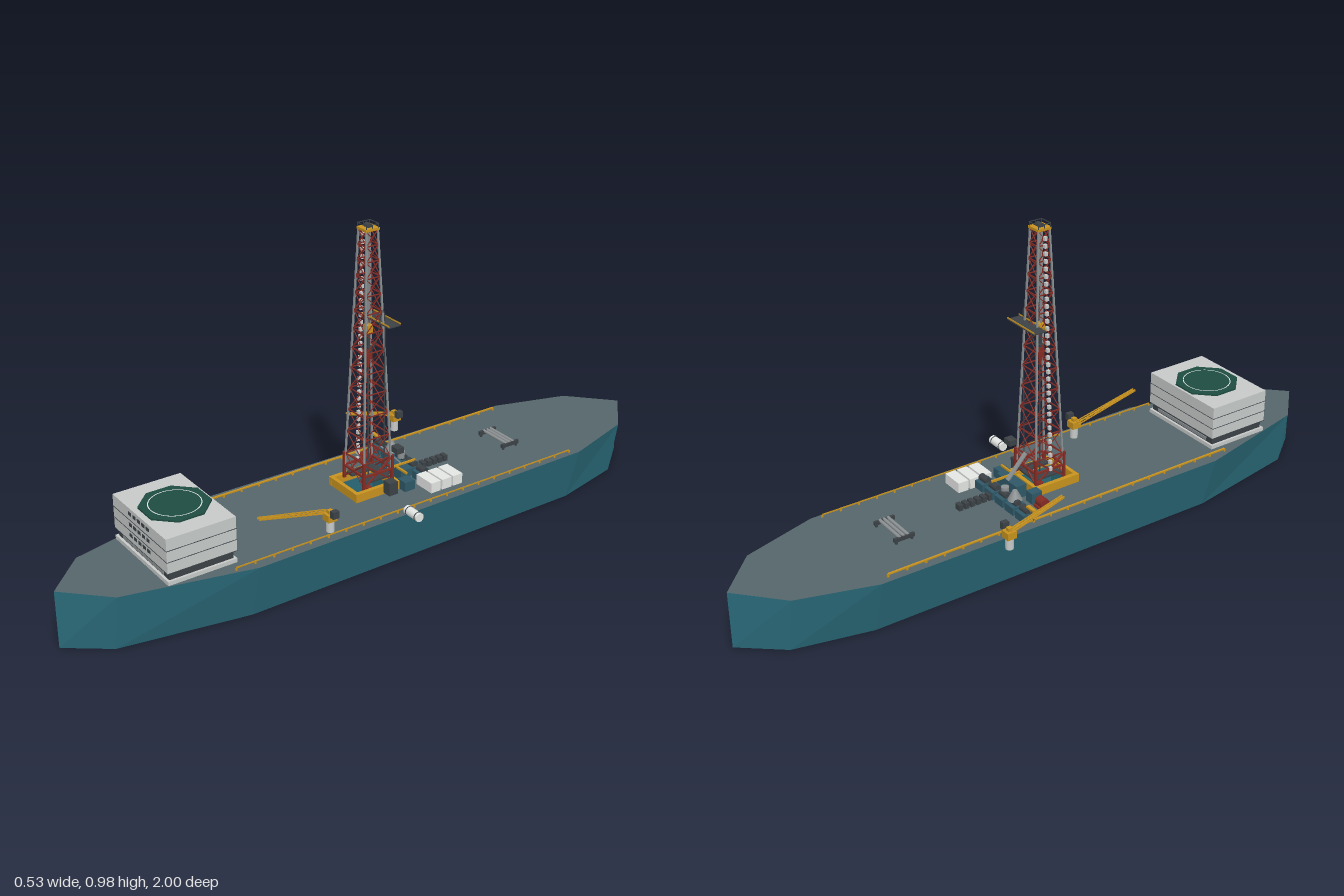
import * as THREE from 'three';
import { mergeGeometries } from 'three/addons/utils/BufferGeometryUtils.js';

export function createModel() {
  const ship = new THREE.Group();
  ship.name = 'drillShip';
  const mat = (name, color, side = THREE.FrontSide) => {
    const m = new THREE.MeshStandardMaterial({ color, side });
    m.name = name;
    return m;
  };
  const teal = mat('hullTeal', 0x2a6b7a, THREE.DoubleSide);
  const deckGrey = mat('deckGrey', 0x55666a);
  const pale = mat('paleGrey', 0xc6cac8);
  const white = mat('white', 0xe4e6e4);
  const yellow = mat('yellow', 0xc8921e);
  const red = mat('oxideRed', 0x842c24);
  const dark = mat('darkGrey', 0x3c4247);
  const steel = mat('steel', 0x8b9092);
  const green = mat('helideckGreen', 0x1f4c40);
  const blue = mat('machineryBlue', 0x2f5868);

  // Geometry helpers: boxes by centre and size, beams between two points
  const V = (x, y, z) => new THREE.Vector3(x, y, z);
  const box = (x, y, z, w, h, d) => new THREE.BoxGeometry(w, h, d).translate(x, y, z);
  const cyl = (x, y, z, r, h, axis = 'y', r2 = r) => {
    const g = new THREE.CylinderGeometry(r2, r, h, 16);
    if (axis === 'x') g.rotateZ(Math.PI / 2);
    if (axis === 'z') g.rotateX(Math.PI / 2);
    return g.translate(x, y, z);
  };
  const beam = (a, b, t, t2 = t) => {
    const dir = b.clone().sub(a);
    const g = new THREE.BoxGeometry(t, t2, dir.length());
    const m = new THREE.Matrix4();
    const up = Math.abs(dir.y) > 0.99 * dir.length() ? V(0, 0, 1) : V(0, 1, 0);
    m.lookAt(b, a, up).setPosition(a.clone().add(b).multiplyScalar(0.5));
    return g.applyMatrix4(m);
  };
  const part = (name, material, geos, parent = ship) => {
    const list = [].concat(geos);
    const mesh = new THREE.Mesh(list.length > 1 ? mergeGeometries(list) : list[0], material);
    mesh.name = name;
    parent.add(mesh);
    return mesh;
  };

  // Hull: flared prism with a moonpool cut through it
  const H = 0.175;
  const half = [[0, 1], [0.12, 0.88], [0.21, 0.5], [0.2, -0.65], [0.13, -0.88], [0, -1]];
  const outline = [...half, ...half.slice(1, -1).reverse().map(([x, z]) => [-x, z])];
  const pool = [[-0.055, -0.055], [0.055, -0.055], [0.055, 0.08], [-0.055, 0.08]];
  const plate = (k, y, flip) => {
    const s = new THREE.Shape(outline.map(([x, z]) => new THREE.Vector2(x * k, -z)));
    s.holes.push(new THREE.Path(pool.map(([x, z]) => new THREE.Vector2(x, -z))));
    const g = new THREE.ShapeGeometry(s).rotateX(-Math.PI / 2);
    if (flip) g.scale(1, -1, 1).setIndex([...g.index.array].reverse());
    g.computeVertexNormals();
    return g.translate(0, y, 0);
  };
  const walls = (pts, k) => {
    const p = [];
    pts.forEach(([x, z], i) => {
      const [u, w] = pts[(i + 1) % pts.length];
      p.push(x * k, 0, z, u * k, 0, w, u, H, w, x * k, 0, z, u, H, w, x, H, z);
    });
    const g = new THREE.BufferGeometry();
    g.setAttribute('position', new THREE.Float32BufferAttribute(p, 3));
    g.computeVertexNormals();
    return g;
  };
  part('hullSides', teal, walls([...outline].reverse(), 0.76).scale(1, 1, 1)).geometry = walls(
    half[1][0] > 0 ? outline : [...outline].reverse(), 0.76);
  part('hullBottom', teal, plate(0.76, 0, true));
  part('mainDeck', deckGrey, plate(1, H, false));
  part('moonpoolWalls', teal, walls([...pool].reverse(), 1));

  // Accommodation block with deck lines and windows
  const house = new THREE.Group();
  house.name = 'accommodation';
  ship.add(house);
  part('houseBase', pale, box(0, 0.181, 0.64, 0.3, 0.012, 0.21), house);
  part('houseRecess', dark, box(0, 0.198, 0.64, 0.285, 0.024, 0.195), house);
  part('houseRecessPanels', steel, box(0, 0.196, 0.64, 0.23, 0.01, 0.2), house);
  part('houseBody', pale, box(0, 0.2625, 0.64, 0.3, 0.105, 0.21), house);
  part('deckLines', dark, [0.211, 0.245, 0.279].map(y => box(0, y, 0.64, 0.302, 0.0016, 0.212)), house);
  const panes = [];
  for (const y of [0.232, 0.265, 0.299])
    for (let i = -2; i <= 2; i++) panes.push(box(i * 0.025, y, 0.7455, 0.015, 0.01, 0.002));
  part('windows', dark, panes, house);

  // Helideck
  const ring = new THREE.RingGeometry(0.071, 0.074, 40).rotateX(-Math.PI / 2).translate(0, 0.3205, 0.635);
  part('helideck', green, new THREE.CylinderGeometry(0.1, 0.1, 0.005, 8).rotateY(Math.PI / 8).translate(0, 0.3175, 0.635), house);
  part('helideckRing', white, ring, house);

  // Drill floor frame and substructure
  const rig = new THREE.Group();
  rig.name = 'drillFloor';
  ship.add(rig);
  part('floorFrame', yellow, [
    box(-0.064, 0.188, 0.013, 0.014, 0.026, 0.155), box(0.064, 0.188, 0.013, 0.014, 0.026, 0.155),
    box(0, 0.188, 0.084, 0.13, 0.026, 0.012), box(0, 0.188, -0.058, 0.13, 0.026, 0.012)], rig);
  const sub = [];
  for (const s of [-1, 1]) {
    for (const z of [-0.05, 0.05]) sub.push(box(s * 0.05, 0.238, z, 0.008, 0.085, 0.008));
    sub.push(beam(V(s * 0.05, 0.2, -0.05), V(s * 0.05, 0.275, 0.05), 0.004));
    sub.push(beam(V(s * 0.05, 0.2, 0.05), V(s * 0.05, 0.275, -0.05), 0.004));
    sub.push(beam(V(-0.05, 0.2, s * 0.05), V(0.05, 0.275, s * 0.05), 0.004));
    sub.push(box(s * 0.05, 0.237, 0, 0.006, 0.006, 0.1), box(0, 0.237, s * 0.05, 0.1, 0.006, 0.006));
  }
  part('substructure', red, sub, rig);
  part('floorPlates', dark, [box(-0.032, 0.212, 0, 0.03, 0.006, 0.09), box(0.032, 0.212, 0, 0.03, 0.006, 0.09),
    box(0, 0.212, -0.035, 0.07, 0.006, 0.03)], rig);
  part('driller', dark, [box(0.06, 0.3, -0.062, 0.03, 0.018, 0.025), box(0.085, 0.2, -0.02, 0.03, 0.04, 0.03)], rig);
  part('pipeRamp', steel, beam(V(0, 0.285, -0.05), V(0, 0.215, -0.115), 0.014, 0.004), rig);
  part('preventerStack', red, [box(0, 0.06, 0, 0.026, 0.05, 0.026), cyl(0, 0.12, 0, 0.01, 0.1)], rig);
  part('preventerFrame', dark, [box(0, 0.03, 0, 0.045, 0.008, 0.045), box(0, 0.09, 0, 0.04, 0.006, 0.04)], rig);

  // Derrick: tapering lattice tower
  const derrick = new THREE.Group();
  derrick.name = 'derrick';
  ship.add(derrick);
  const wide = y => 0.05 - 0.031 * (y - 0.2) / 0.765;
  const corner = (i, y) => V([1, 1, -1, -1][i % 4] * wide(y), y, [1, -1, -1, 1][i % 4] * wide(y));
  const levels = [0.2];
  for (let i = 0; i < 13; i++) levels.push(levels[i] + 0.0755 - 0.0028 * i);
  const k = 0.765 / (levels[13] - 0.2);
  const ys = levels.map(y => 0.2 + (y - 0.2) * k);
  const legs = [], braces = [];
  for (let i = 0; i < 4; i++) {
    legs.push(beam(corner(i, 0.2), corner(i, 0.965), 0.005));
    for (let j = 0; j < 13; j++) {
      braces.push(beam(corner(i, ys[j]), corner(i + 1, ys[j + 1]), 0.0022));
      braces.push(beam(corner(i + 1, ys[j]), corner(i, ys[j + 1]), 0.0022));
      braces.push(beam(corner(i, ys[j + 1]), corner(i + 1, ys[j + 1]), 0.003));
    }
  }
  part('derrickLegs', steel, legs, derrick);
  part('derrickBraces', red, braces, derrick);

  // Crown platform with handrail
  part('crownPlatform', yellow, box(0, 0.969, 0, 0.046, 0.007, 0.046), derrick);
  const rail = [];
  for (const s of [-1, 1]) {
    rail.push(box(s * 0.021, 0.983, 0, 0.002, 0.002, 0.042), box(0, 0.983, s * 0.021, 0.042, 0.002, 0.002));
    for (const q of [-1, 0, 1]) rail.push(box(s * 0.021, 0.978, q * 0.02, 0.002, 0.012, 0.002));
  }
  part('crownRail', dark, rail, derrick);
  part('crownSheaves', dark, cyl(0, 0.976, 0, 0.008, 0.02, 'x'), derrick);

  // Racking board
  part('rackingBoard', dark, box(0, 0.688, -0.045, 0.13, 0.003, 0.04), derrick);
  part('rackingRails', yellow, [-0.065, -0.025].map(z => box(0, 0.693, z, 0.132, 0.004, 0.002)), derrick);

  // Caged ladder up one side
  const cage = [];
  for (let y = 0.24; y < 0.95; y += 0.022) cage.push(box(-wide(y) - 0.005, y, 0, 0.009, 0.011, 0.009));
  part('ladderCage', pale, cage, derrick);

  // Travelling block, top drive and drilling lines
  part('travellingBlock', yellow, box(0, 0.672, 0, 0.022, 0.026, 0.018), derrick);
  part('topDrive', red, [box(0, 0.597, 0, 0.018, 0.034, 0.018), box(0, 0.57, 0, 0.006, 0.03, 0.006)], derrick);
  part('hook', dark, [box(0, 0.635, 0, 0.008, 0.05, 0.008), box(0, 0.617, 0, 0.02, 0.008, 0.014)], derrick);
  part('drillLines', steel, [-0.008, -0.003, 0.003, 0.008].map(x => beam(V(x, 0.68, 0), V(x * 0.7, 0.965, 0), 0.0018)), derrick);
  part('drillString', dark, cyl(0, 0.38, 0, 0.0025, 0.37), derrick);
  const hose = new THREE.CatmullRomCurve3([V(0.038, 0.24, -0.03), V(0.038, 0.5, -0.03), V(0.038, 0.71, -0.03),
    V(0.033, 0.733, -0.03), V(0.027, 0.715, -0.025), V(0.024, 0.64, -0.012), V(0.008, 0.6, 0)]);
  part('standpipe', dark, new THREE.TubeGeometry(hose, 50, 0.002, 6), derrick);

  // Deck cranes
  const crane = (x, z, reach, boomX) => {
    const g = new THREE.Group();
    g.name = 'deckCrane';
    ship.add(g);
    part('cranePedestal', pale, cyl(x, 0.193, z, 0.012, 0.036), g);
    part('craneHouse', yellow, [box(x, 0.221, z, 0.03, 0.022, 0.03), box(x, 0.237, z, 0.014, 0.01, 0.014)], g);
    part('craneCab', dark, box(x + 0.023, 0.238, z, 0.016, 0.022, 0.02), g);
    const boom = [];
    for (const s of [-0.005, 0.005])
      for (const d of [0, 0.008]) boom.push(beam(V(boomX + s, 0.226 + d, z), V(boomX + s, 0.278 + d * 0.4, z + reach), 0.003));
    for (let i = 0; i < 12; i++) {
      const p = t => V(boomX + (i % 2 ? 0.005 : -0.005) * (t ? -1 : 1), 0.229 + 0.051 * (i + t) / 12, z + reach * (i + t) / 12);
      boom.push(beam(p(0), p(1), 0.002));
    }
    part('craneBoom', yellow, boom, g);
  };
  crane(-0.25, -0.278, 0.178, -0.253);
  crane(0.157, 0.24, 0.222, 0.142);

  // Outboard lifeboat
  part('lifeboat', white, cyl(0.235, 0.191, 0.01, 0.0135, 0.06, 'x'));
  part('lifeboatBands', dark, [0.215, 0.255].map(x => cyl(x, 0.191, 0.01, 0.014, 0.003, 'x')));

  // Side rails along the deck
  const rails = [box(-0.18, 0.184, -0.03, 0.006, 0.004, 1.18), box(0.186, 0.184, -0.03, 0.002, 0.004, 1.18)];
  for (let z = -0.62; z < 0.57; z += 0.059)
    rails.push(box(-0.18, 0.179, z, 0.004, 0.009, 0.006), box(0.186, 0.179, z, 0.002, 0.009, 0.006));
  part('sideRails', yellow, rails);

  // Mud pumps, tanks and machinery behind the derrick
  const skids = [], motors = [];
  for (let i = 0; i < 5; i++) {
    skids.push(box(-0.15 + i * 0.052, 0.188, -0.155, 0.042, 0.024, 0.045));
    motors.push(cyl(-0.15 + i * 0.052, 0.205, -0.155, 0.011, 0.034, 'x'));
  }
  part('pumpSkids', blue, skids);
  part('pumpMotors', dark, motors);
  part('mudTank', steel, [cyl(-0.09, 0.222, -0.15, 0.022, 0.03, 'y', 0.007), cyl(-0.04, 0.215, -0.15, 0.012, 0.02)]);
  part('storageUnits', white, [-0.217, -0.177, -0.137].map(z => box(0.112, 0.191, z, 0.072, 0.032, 0.034)));
  part('winches', red, [cyl(-0.125, 0.191, -0.08, 0.015, 0.03, 'x'), box(-0.125, 0.178, -0.08, 0.036, 0.008, 0.036)]);
  part('generators', blue, [box(-0.085, 0.192, -0.08, 0.03, 0.034, 0.035), box(0.08, 0.19, -0.08, 0.036, 0.03, 0.035),
    box(0, 0.196, -0.1, 0.1, 0.04, 0.035)]);
  part('yellowPipes', yellow, [box(0.015, 0.218, -0.11, 0.006, 0.006, 0.1), box(0.05, 0.22, -0.085, 0.05, 0.006, 0.006),
    box(-0.178, 0.221, -0.155, 0.034, 0.006, 0.012)]);
  part('pipeArm', dark, beam(V(-0.19, 0.19, -0.155), V(-0.163, 0.216, -0.155), 0.004));
  const steps = [];
  for (let z = -0.28; z < -0.18; z += 0.02) steps.push(box(0, 0.184, z, 0.022, 0.018, 0.014));
  part('catwalk', dark, steps);

  // Pipe stand on the after deck
  part('pipeStand', dark, [box(-0.054, 0.188, -0.495, 0.008, 0.012, 0.065), box(0.054, 0.188, -0.495, 0.008, 0.012, 0.065),
    ...[-0.054, 0.054].flatMap(x => [-0.52, -0.47].map(z => box(x, 0.179, z, 0.006, 0.012, 0.006)))]);
  part('stowedPipes', steel, [-0.508, -0.495, -0.482].map(z => cyl(0, 0.192, z, 0.005, 0.11, 'x')));
  return ship;
}
